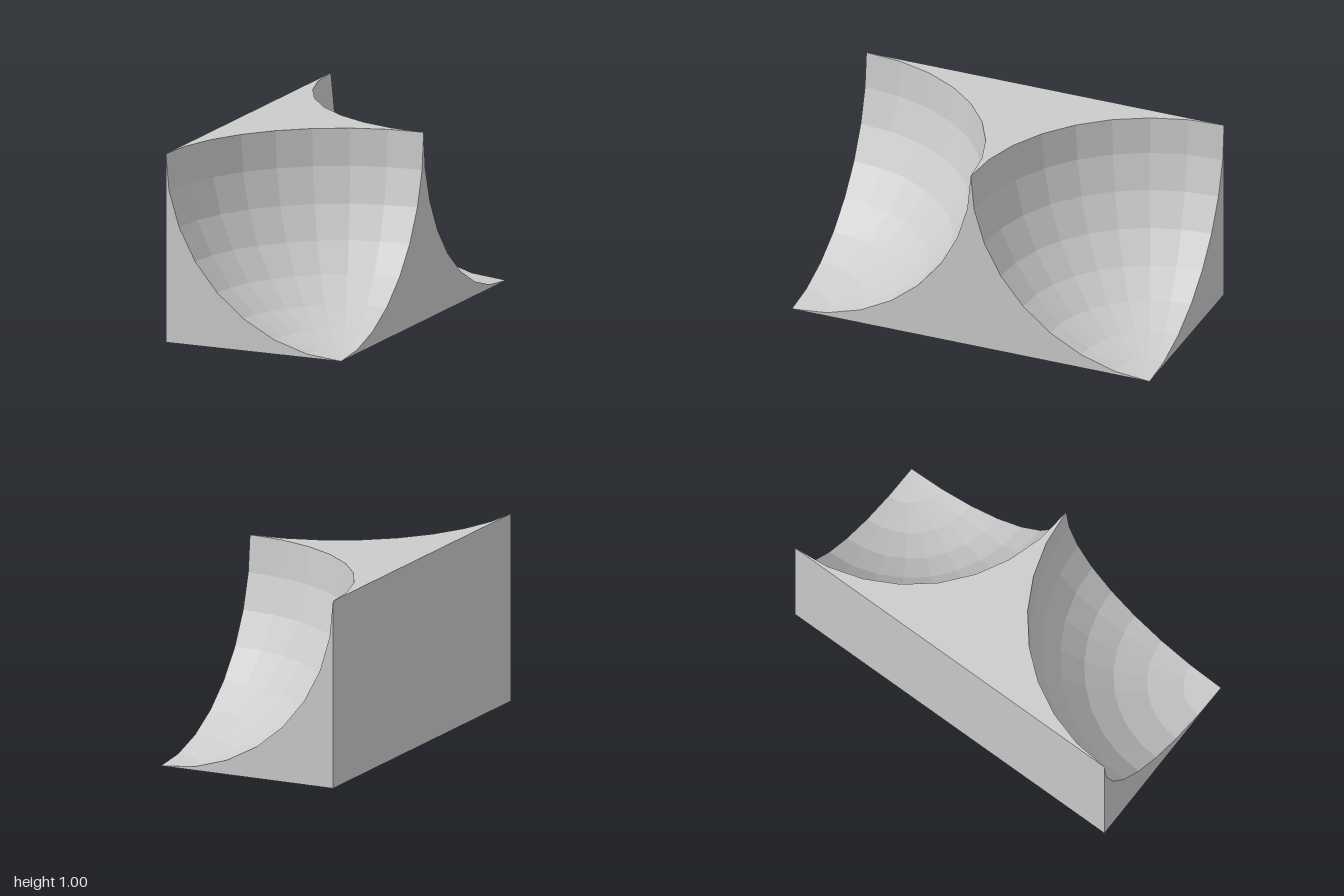
import * as THREE from 'three';

const STEPS = 8;
const material = new THREE.MeshStandardMaterial({ color: 0xcccccc, flatShading: true });

// Unit quarter arc as points, angles in quarter turns
function arc(cx, cy, from, to) {
  return Array.from({ length: STEPS + 1 }, (_, i) => {
    const a = (from + (to - from) * i / STEPS) * Math.PI / 2;
    return new THREE.Vector2(cx + Math.cos(a), cy + Math.sin(a));
  });
}

function panel(points) {
  return new THREE.ShapeGeometry(new THREE.Shape(points));
}

// Inward-facing eighth of a sphere: mirroring in z turns the faces inside out
function hollow(phiStart, z) {
  return new THREE.SphereGeometry(1, STEPS, STEPS, phiStart, Math.PI / 2, Math.PI / 2, Math.PI / 2)
    .scale(1, 1, -1).translate(0.5, 1, z);
}

export function createModel() {
  const group = new THREE.Group();
  const add = (name, geometry) => {
    const flat = geometry.index ? geometry.toNonIndexed() : geometry;
    flat.computeVertexNormals();
    const mesh = new THREE.Mesh(flat, material);
    mesh.name = name;
    group.add(mesh);
  };
  const v = (x, y) => new THREE.Vector2(x, y);

  // Plain rectangular faces of the block
  add('base', new THREE.PlaneGeometry(1, 2).rotateX(Math.PI / 2));
  add('plainSide', new THREE.PlaneGeometry(2, 1).rotateY(-Math.PI / 2).translate(-0.5, 0.5, 0));

  // End faces, each with a quarter circle cut away
  add('frontFace', panel([v(-0.5, 0), ...arc(0.5, 1, -1, -2)]).translate(0, 0, 1));
  add('backFace', panel([v(0.5, 0), ...arc(-0.5, 1, 0, -1)])
    .rotateY(Math.PI).translate(0, 0, -1));

  // Top and cut side, two quarter circles meeting in a cusp
  const cusp = [...arc(1, 1, -1, -2), ...arc(-1, 1, 0, -1).slice(1)];
  add('cutSide', panel(cusp).rotateY(Math.PI / 2).translate(0.5, 0, 0));
  add('topFace', panel(cusp).rotateX(-Math.PI / 2).rotateY(-Math.PI / 2).translate(-0.5, 1, 0));

  // Spherical hollows at the two upper corners
  add('frontHollow', hollow(0, 1));
  add('backHollow', hollow(Math.PI * 1.5, -1));

  return group;
}
